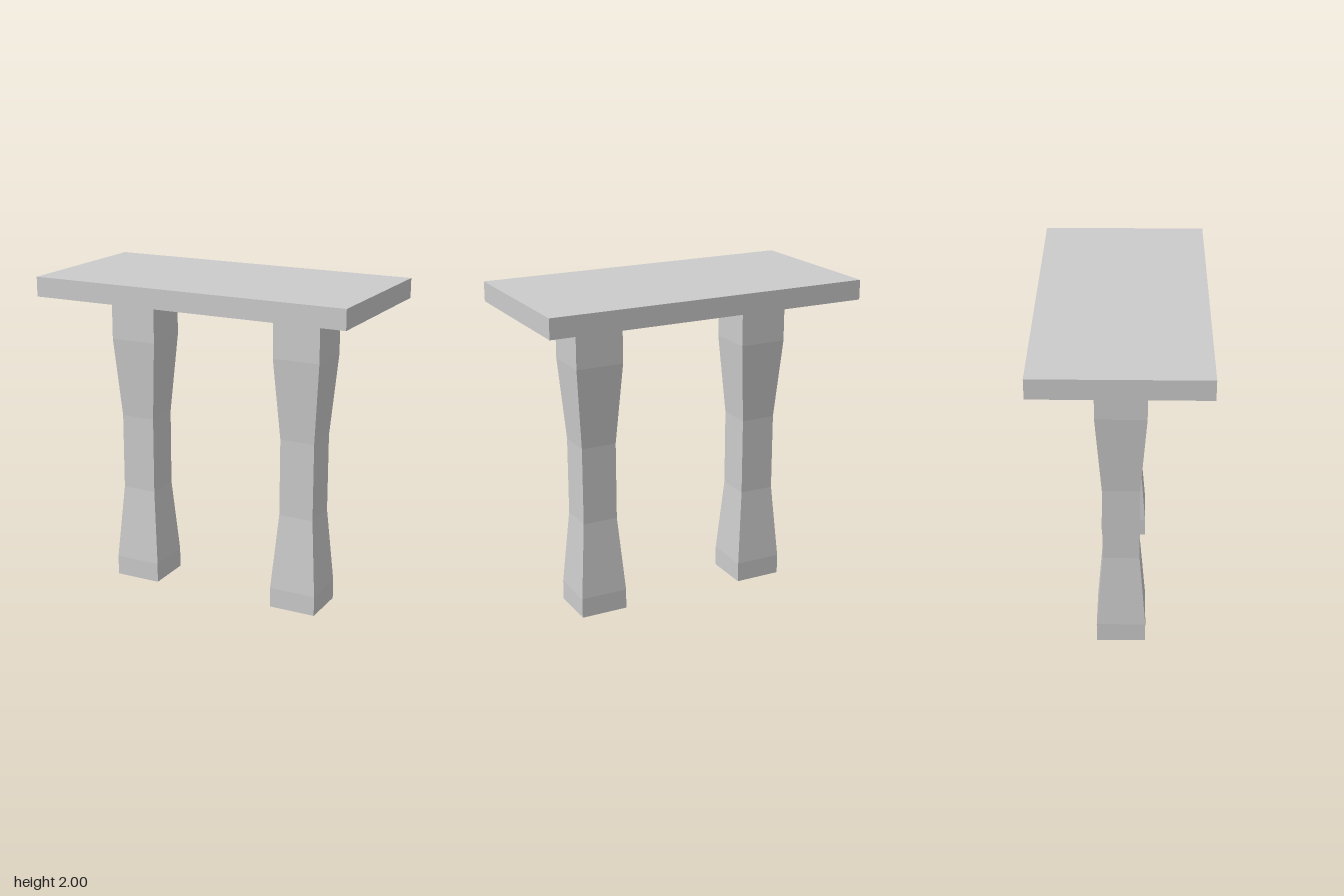
import * as THREE from 'three';

export function createModel() {
  const model = new THREE.Group();
  const material = new THREE.MeshStandardMaterial({ color: 0xcccccc, flatShading: true });

  // Flat rectangular slab
  const top = new THREE.Mesh(new THREE.BoxGeometry(2, 0.12, 1), material);
  top.name = 'tableTop';
  top.position.y = 1.94;
  model.add(top);

  // Square leg with a narrow waist: [half width, height], closed at both ends
  const profile = [
    [0, 0], [0.148, 0], [0.148, 0.125], [0.11, 0.6],
    [0.11, 1.08], [0.148, 1.58], [0.148, 1.88], [0, 1.88],
  ].map(([half, y]) => new THREE.Vector2(half * Math.SQRT2, y));
  const legGeometry = new THREE.LatheGeometry(profile, 4, Math.PI / 4);

  for (const side of [1, -1]) {
    const leg = new THREE.Mesh(legGeometry, material);
    leg.name = side > 0 ? 'leftLeg' : 'rightLeg';
    leg.position.x = side * 0.55;
    model.add(leg);
  }

  return model;
}
